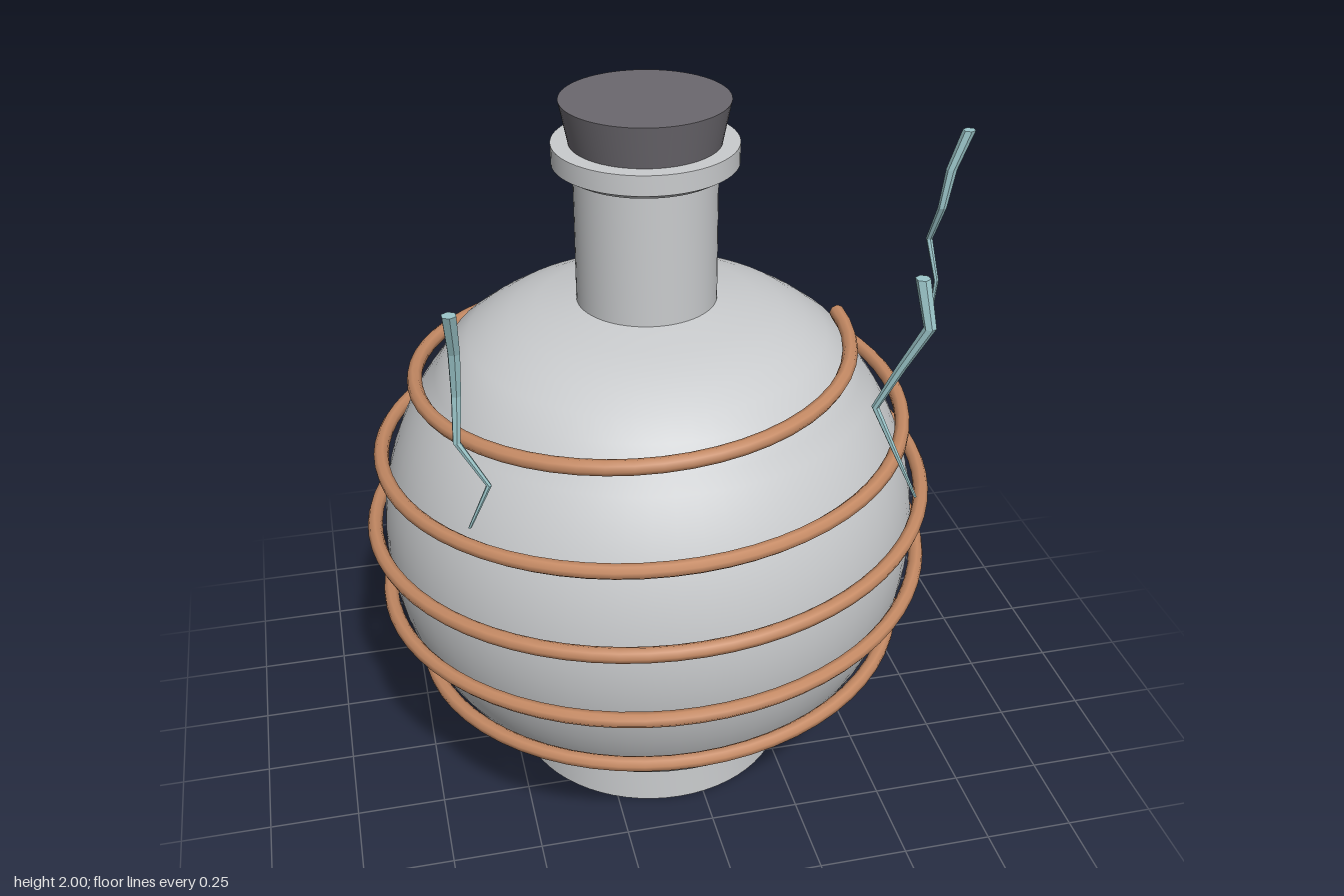
import * as THREE from 'three';
import { toCreasedNormals, mergeGeometries } from 'three/addons/utils/BufferGeometryUtils.js';

const AXIS_X = -0.074, AXIS_Z = -0.01;

function mat(name, color, options = {}) {
  const m = new THREE.MeshStandardMaterial({ color, ...options });
  m.name = name;
  return m;
}

function part(name, geometry, material) {
  const mesh = new THREE.Mesh(geometry, material);
  mesh.name = name;
  return mesh;
}

// Surface of revolution with crisp rims
function lathe(points) {
  const profile = points.map(([r, y]) => new THREE.Vector2(r, y));
  return toCreasedNormals(new THREE.LatheGeometry(profile, 64), 0.6);
}

// Rising coil that hugs the round body, starting and ending on the model's left
class Coil extends THREE.Curve {
  getPoint(t, target = new THREE.Vector3()) {
    const a = t * 5 * Math.PI * 2;
    const y = 0.243 + 1.095 * t;
    const r = Math.sqrt(0.785 ** 2 - (y - 0.77) ** 2);
    return target.set(Math.cos(a) * r, y, -Math.sin(a) * r);
  }
}

// Tapered crooked wisp: a cylinder whose rings are shifted along a path
function wisp(path) {
  const rows = path.length - 1, height = 0.57;
  const g = new THREE.CylinderGeometry(0.018, 0.004, height, 6, rows);
  const p = g.attributes.position;
  for (let i = 0; i < p.count; i++) {
    const [x, z] = path[Math.round((p.getY(i) / height + 0.5) * rows)];
    p.setXYZ(i, p.getX(i) + x, p.getY(i) + 1.24 + height / 2, p.getZ(i) + z);
  }
  const flat = g.toNonIndexed();
  flat.computeVertexNormals();
  return flat;
}

export function createModel() {
  const model = new THREE.Group();
  model.name = 'coiledFlask';
  const glass = mat('paleGrey', 0xc9cbcd);
  const stopperGrey = mat('darkGrey', 0x6b686e);
  const copper = mat('copper', 0xc58a64);
  const vapour = mat('paleTeal', 0x9cc6ca);

  const flask = new THREE.Group();
  flask.name = 'flask';
  flask.position.set(AXIS_X, 0, AXIS_Z);
  model.add(flask);

  // Foot
  flask.add(part('foot', lathe([[0, 0], [0.4, 0], [0.398, 0.12], [0, 0.12]]), glass));

  // Round body: spherical belly flattening into the shoulder
  const belly = [];
  for (let i = 0; i <= 24; i++) {
    const y = 0.76 - 0.755 * Math.cos(0.555 + i * (1.7 / 24));
    belly.push([Math.sqrt(0.755 ** 2 - (y - 0.76) ** 2), y]);
  }
  belly.push([0.545, 1.305], [0.49, 1.347], [0.43, 1.385], [0.37, 1.41], [0.3, 1.43], [0.18, 1.449]);
  flask.add(part('body', lathe(belly), glass));

  // Neck and lip
  flask.add(part('neck', lathe([[0.19, 1.43], [0.19, 1.83]]), glass));
  flask.add(part('lip', lathe([[0.19, 1.812], [0.215, 1.815], [0.245, 1.833], [0.245, 1.887], [0.15, 1.887]]), glass));

  // Stopper
  flask.add(part('stopper', lathe([[0, 1.86], [0.194, 1.86], [0.222, 2], [0, 2]]), stopperGrey));

  // Copper coil with closed ends
  const coil = new Coil();
  const pieces = [new THREE.TubeGeometry(coil, 320, 0.021, 8)];
  for (const [t, sign] of [[0, -1], [1, 1]]) {
    const cap = new THREE.CircleGeometry(0.021, 8);
    const dir = coil.getTangent(t).multiplyScalar(sign);
    cap.applyQuaternion(new THREE.Quaternion().setFromUnitVectors(new THREE.Vector3(0, 0, 1), dir));
    const p = coil.getPoint(t);
    cap.translate(p.x, p.y, p.z);
    pieces.push(cap);
  }
  flask.add(part('coil', mergeGeometries(pieces), copper));

  // Three vapour wisps; x and z of each ring from bottom to top
  const wisps = {
    rightWisp: [[-0.65, 0.693], [-0.6, 0.7], [-0.665, 0.683], [-0.657, 0.668], [-0.656, 0.683], [-0.664, 0.725]],
    frontWisp: [[0.41, 0.8], [0.362, 0.77], [0.315, 0.74], [0.36, 0.77], [0.408, 0.804], [0.392, 0.777]],
    leftWisp: [[0.794, -0.112], [0.8, -0.108], [0.785, -0.15], [0.795, -0.1], [0.811, -0.096], [0.85, -0.09]],
  };
  for (const [name, path] of Object.entries(wisps)) model.add(part(name, wisp(path), vapour));

  return model;
}
